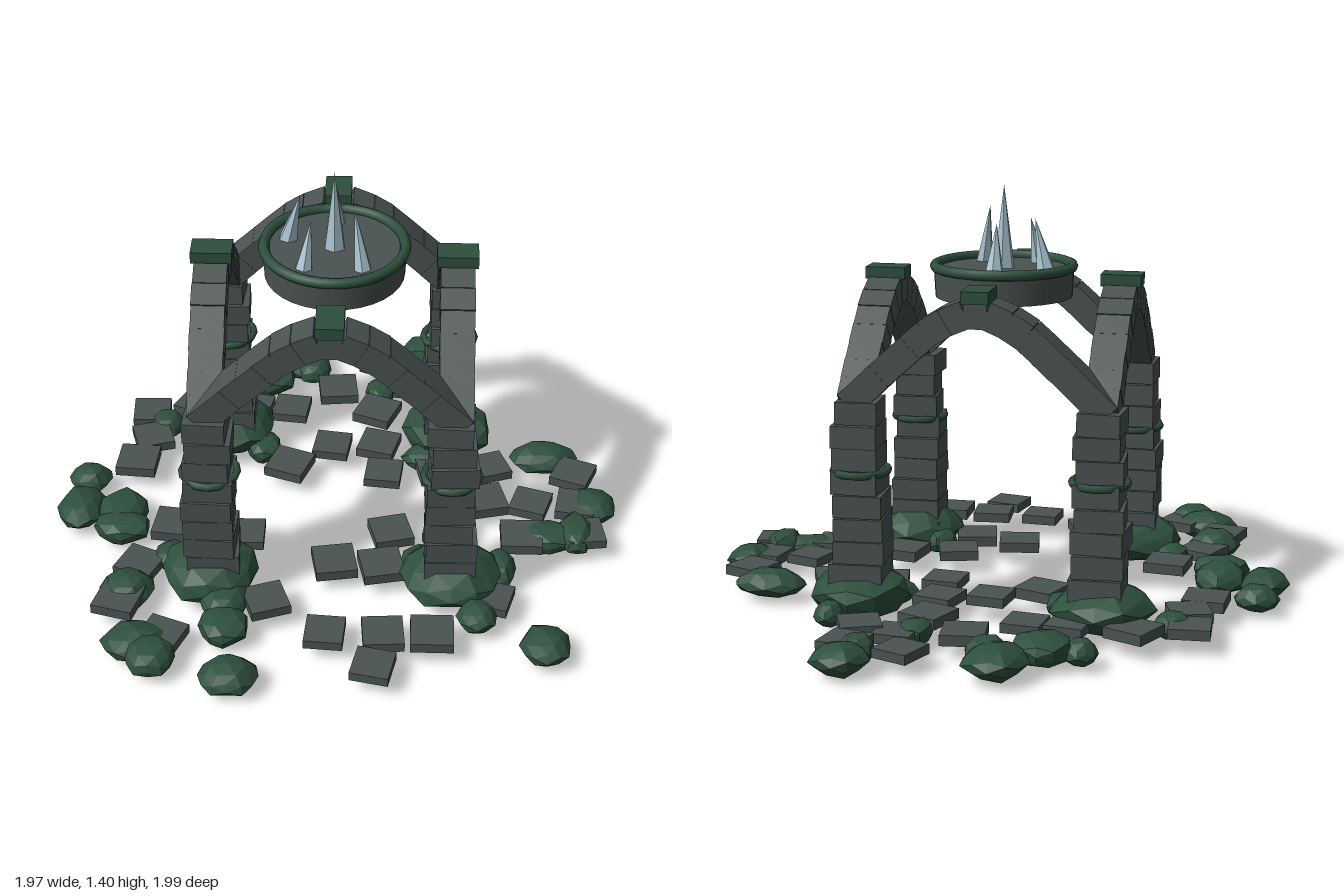
import * as THREE from 'three';

const stone = new THREE.MeshStandardMaterial({ color: 0x4a5252 });
stone.name = 'grey stone';
const moss = new THREE.MeshStandardMaterial({ color: 0x2e4f3d });
moss.name = 'moss green';
const ice = new THREE.MeshStandardMaterial({ color: 0xa9c4d1 });
ice.name = 'pale crystal';

// centre of the arched structure and half the distance between pillars
const CX = -0.01, CZ = 0.03, HALF = 0.4;

// small seeded random, -1..1
let seed = 7;
const rnd = () => {
  seed = (seed * 16807) % 2147483647;
  return (seed / 2147483647) * 2 - 1;
};

function add(parent, name, geometry, material, x = 0, y = 0, z = 0) {
  const m = new THREE.Mesh(geometry, material);
  m.name = name;
  m.position.set(x, y, z);
  parent.add(m);
  return m;
}

// faceted boulder of unit radius, dented by a rule on vertex position
function boulderGeometry(k) {
  const g = new THREE.IcosahedronGeometry(1, 1);
  const p = g.attributes.position, v = new THREE.Vector3();
  for (let i = 0; i < p.count; i++) {
    v.fromBufferAttribute(p, i);
    const s = 1 + 0.08 * Math.sin(v.x * 5.1 + k) * Math.cos(v.z * 4.3 - k) + 0.05 * Math.sin(v.y * 6 + k * 2);
    p.setXYZ(i, v.x * s, v.y * s, v.z * s);
  }
  g.computeVertexNormals();
  return g;
}

// pillar of slightly turned blocks with a moss band
function pillar(x, z) {
  const g = new THREE.Group();
  g.name = 'pillar';
  const n = 9, h = 0.077;
  for (let i = 0; i < n; i++) {
    const w = 0.178 - 0.036 * (i / (n - 1)) + rnd() * 0.006;
    const b = add(g, 'pillarBlock', new THREE.BoxGeometry(w, h - 0.003, w), stone,
      rnd() * 0.007, 0.06 + (i + 0.5) * h, rnd() * 0.007);
    b.rotation.y = rnd() * 0.07;
  }
  const band = add(g, 'mossBand', new THREE.TorusGeometry(0.09, 0.013, 6, 16), moss, 0, 0.515, 0);
  band.rotation.x = Math.PI / 2;
  g.position.set(x, 0, z);
  return g;
}

// arch of blocks along a curve, running in x, with a moss-covered keystone
function arch() {
  const g = new THREE.Group();
  g.name = 'arch';
  const half = [[0.395, 0.765], [0.26, 0.892], [0.125, 1.005]];
  const pts = [
    ...half.map(([x, y]) => new THREE.Vector3(-x, y, 0)),
    new THREE.Vector3(0, 1.05, 0),
    ...half.slice().reverse().map(([x, y]) => new THREE.Vector3(x, y, 0)),
  ];
  const curve = new THREE.CatmullRomCurve3(pts);
  const n = 15;
  for (let i = 0; i < n; i++) {
    const t = i / (n - 1);
    const p = curve.getPointAt(t), d = curve.getTangentAt(t);
    const b = add(g, 'archBlock', new THREE.BoxGeometry(0.076, 0.092, 0.11 + (i % 2) * 0.003), stone, p.x, p.y, 0);
    b.rotation.z = Math.atan2(d.y, d.x);
  }
  add(g, 'keystoneCap', new THREE.BoxGeometry(0.09, 0.04, 0.135), moss, 0, 1.105, 0);
  return g;
}

// floor slabs: x, z, turn in degrees
const slabs = [
  [0.14, -0.82, -22], [0.32, -0.81, -12], [-0.02, -0.64, 6], [0.19, -0.68, -5], [0.32, -0.64, 22],
  [0.13, -0.50, -22], [-0.19, -0.51, -7], [-0.71, -0.46, 3], [-0.54, -0.52, -25], [-0.33, -0.51, -10],
  [-0.69, -0.31, 17], [-0.73, -0.17, -4], [-0.03, -0.28, -8], [0.14, -0.30, -15], [-0.18, -0.17, -20],
  [0.54, -0.17, 20], [0.84, -0.14, -22], [0.52, 0.01, 14], [0.68, 0.03, -18], [0.84, 0.03, -10],
  [-0.56, 0.19, -7], [-0.31, 0.23, 0], [-0.66, 0.39, -24], [0.64, 0.21, 0], [0.86, 0.19, 8],
  [0.19, 0.20, 15], [0.38, 0.17, -10], [0.53, 0.53, -16], [-0.22, 0.57, 20], [-0.71, 0.58, -15],
  [-0.02, 0.71, -4], [0.17, 0.71, 4], [0.33, 0.71, 0], [0.14, 0.86, -12], [-0.55, 0.74, -22],
  [0, 0.36, 10], [0.16, -0.13, -6], [0.35, -0.16, 12], [0.16, 0.38, 12],
];

// loose moss boulders: x, z, radius in x, radius in z
const boulders = [
  [-0.16, -0.84, 0.10, 0.12], [-0.12, -0.77, 0.07, 0.07], [-0.28, -0.71, 0.10, 0.10], [-0.40, -0.70, 0.055, 0.06],
  [0.31, -0.91, 0.09, 0.09], [0.28, -0.82, 0.06, 0.065], [0.14, -0.63, 0.055, 0.07], [0.74, -0.25, 0.12, 0.08],
  [0.90, 0.02, 0.08, 0.09], [0.83, 0.18, 0.06, 0.10], [0.74, 0.19, 0.11, 0.07], [-0.89, -0.08, 0.075, 0.065],
  [-0.90, 0.09, 0.08, 0.11], [-0.75, 0.11, 0.09, 0.11], [-0.74, 0.20, 0.10, 0.075], [-0.69, 0.51, 0.09, 0.09],
  [-0.63, 0.76, 0.11, 0.09], [-0.58, 0.83, 0.085, 0.085], [-0.35, 0.68, 0.085, 0.09], [-0.32, 0.91, 0.095, 0.085],
  [0.70, 0.74, 0.08, 0.09], [-0.65, -0.41, 0.065, 0.065], [-0.28, -0.28, 0.065, 0.08], [0.45, -0.53, 0.05, 0.065],
  [0.32, -0.24, 0.09, 0.065], [-0.36, 0.56, 0.085, 0.095], [-0.55, 0.34, 0.065, 0.065], [0.56, 0.37, 0.055, 0.09],
  [0.48, 0.61, 0.065, 0.075], [0.29, 0.34, 0.065, 0.065],
];

// crystals: base x and z from the basin centre, height, radius
const crystals = [
  [0, 0, 0.28, 0.037], [0, -0.16, 0.17, 0.033], [-0.152, -0.05, 0.18, 0.033],
  [-0.094, 0.13, 0.165, 0.03], [0.094, 0.13, 0.205, 0.03],
];

export function createModel() {
  const root = new THREE.Group();
  root.name = 'mossyArchShrine';
  const shapes = [0.4, 1.7, 2.9, 4.4].map(boulderGeometry);

  // scattered floor
  const slabGeometry = new THREE.BoxGeometry(0.135, 0.034, 0.135);
  slabs.forEach(([x, z, a], i) => {
    const s = add(root, 'floorSlab', slabGeometry, stone, x, 0.076 + rnd() * 0.006, z);
    s.rotation.y = THREE.MathUtils.degToRad(a);
    s.scale.setScalar(1 + (i % 3 - 1) * 0.05);
  });
  boulders.forEach(([x, z, rx, rz], i) => {
    const b = add(root, 'mossBoulder', shapes[i % 4], moss, x, 0.068 + rnd() * 0.007, z);
    b.scale.set(rx, 0.035 + 0.18 * Math.min(rx, rz), rz);
  });

  // pillars with a moss mound at each foot
  let k = 0;
  for (const sx of [-1, 1]) for (const sz of [-1, 1]) {
    const x = CX + sx * HALF * 0.985, z = CZ + sz * HALF;
    root.add(pillar(x, z));
    const mound = add(root, 'mossMound', shapes[k++], moss, x + sx * 0.01, 0.1, z);
    mound.scale.set(0.165, 0.08, 0.165);
  }

  // four arches joining the pillars
  for (let i = 0; i < 4; i++) {
    const a = arch(), t = (i * Math.PI) / 2;
    a.position.set(CX + Math.sin(t) * HALF, 0, CZ + Math.cos(t) * HALF);
    a.rotation.y = t;
    root.add(a);
  }

  // hanging basin with mossy rim and crystals
  const basin = new THREE.Group();
  basin.name = 'basin';
  basin.position.set(CX, 0, CZ);
  root.add(basin);
  add(basin, 'basinDisc', new THREE.CylinderGeometry(0.235, 0.23, 0.095, 32), stone, 0, 1.084, 0);
  const rim = add(basin, 'basinRim', new THREE.TorusGeometry(0.23, 0.018, 8, 40), moss, 0, 1.138, 0);
  rim.rotation.x = Math.PI / 2;
  for (const [x, z, h, r] of crystals) {
    const cone = new THREE.ConeGeometry(r, h, 6).toNonIndexed();
    cone.translate(0, h / 2, 0);
    cone.computeVertexNormals();
    const c = add(basin, 'crystal', cone, ice, x, 1.128, z);
    // lean towards the middle
    c.quaternion.setFromUnitVectors(new THREE.Vector3(0, 1, 0),
      new THREE.Vector3(-x * 1.5, 1, -z * 1.5).normalize());
  }
  return root;
}
